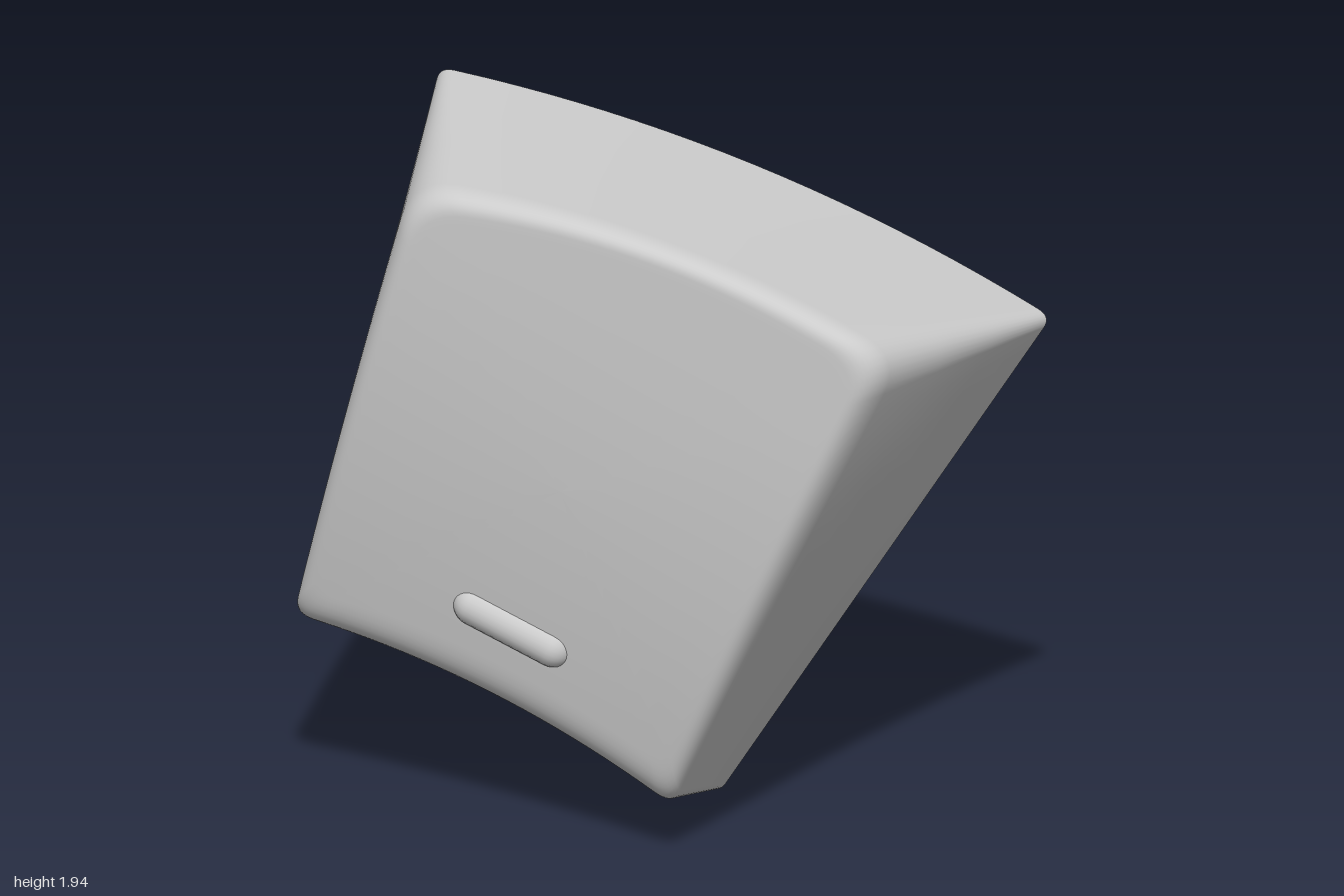
import * as THREE from 'three';

const BACK = -0.335;
const AXIS = new THREE.Vector2(0.372, 0.928); // direction from the narrow end to the wide end
const BULGE = [0, -0.062, 0, 0.085]; // outward bow of left, bottom, right and top edges
const v2 = (x, y) => new THREE.Vector2(x, y);

// Corners run counter-clockwise: top left, bottom left, bottom right, top right
const BASE = [v2(-0.69, 1.943), v2(-1.01, 0.39), v2(0.085, -0.01), v2(1.01, 1.48)];
const TOP = [v2(-0.53, 1.882), v2(-0.912, 0.565), v2(0.14, 0.175), v2(0.788, 1.585)];

// Height of the dished front face, falling away towards the narrow end
function faceZ(x, y) {
  const d = Math.max(0, 1.5 - (x * AXIS.x + y * AXIS.y));
  return 0.335 - 0.083 * d * d;
}

// Moves each edge of a quad inwards by its own distance
function inset(quad, dist) {
  return quad.map((p, i) => {
    const j = (i + 3) % 4;
    const u1 = p.clone().sub(quad[j]).normalize();
    const u2 = quad[(i + 1) % 4].clone().sub(p).normalize();
    const cross = u1.cross(u2);
    return p.clone().addScaledVector(u2, dist[j] / cross).addScaledVector(u1, -dist[i] / cross);
  });
}

// Rounded outline with bowed edges; z is a function of x and y
function ring(quad, radii, z) {
  const edge = (i, s) => {
    const a = quad[i], b = quad[(i + 1) % 4];
    const u = b.clone().sub(a).normalize();
    return a.clone().lerp(b, s).addScaledVector(v2(u.y, -u.x), BULGE[i] * 4 * s * (1 - s));
  };
  const points = [];
  for (let i = 0; i < 4; i++) {
    const j = (i + 3) % 4, k = (i + 1) % 4;
    const before = edge(j, 1 - radii[i] / quad[j].distanceTo(quad[i]));
    const length = quad[i].distanceTo(quad[k]);
    const s0 = radii[i] / length, s1 = 1 - radii[k] / length;
    const corner = new THREE.QuadraticBezierCurve(before, quad[i], edge(i, s0));
    for (let n = 0; n < 8; n++) points.push(corner.getPoint(n / 8));
    for (let n = 0; n < 20; n++) points.push(edge(i, s0 + (s1 - s0) * n / 20));
  }
  return points.map(p => new THREE.Vector3(p.x, p.y, z(p.x, p.y)));
}

// Skin over a list of closed rings with equal point counts
function loft(rings) {
  const n = rings[0].length, index = [];
  for (let r = 0; r < rings.length - 1; r++) {
    for (let i = 0; i < n; i++) {
      const a = r * n + i, b = r * n + (i + 1) % n;
      index.push(a, b, b + n, a, b + n, a + n);
    }
  }
  const geometry = new THREE.BufferGeometry().setFromPoints(rings.flat());
  geometry.setIndex(index);
  geometry.computeVertexNormals();
  return geometry;
}

// Rings from the open back, up the wall, round the edge and across to the middle
function shellRings(base, edge, inner, z) {
  const rings = [0, 0.3, 0.6].map(t => base.map((p, i) => p.clone().lerp(edge[i], t)));
  const start = base.map((p, i) => p.clone().lerp(edge[i], 0.89));
  for (let s = 0; s <= 8; s++) {
    rings.push(start.map((p, i) =>
      new THREE.QuadraticBezierCurve3(p, edge[i], inner[i]).getPoint(s / 8)));
  }
  const middle = new THREE.Vector3();
  inner.forEach(p => middle.addScaledVector(p, 1 / inner.length));
  for (const k of [0.97, 0.85, 0.7, 0.5, 0.3, 0.15, 0]) {
    rings.push(inner.map(p => {
      const q = middle.clone().lerp(p, k);
      q.z = z(q.x, q.y);
      return q;
    }));
  }
  return rings;
}

export function createModel() {
  const group = new THREE.Group();
  const material = new THREE.MeshStandardMaterial({ color: 0xcccccc });
  const add = (name, geometry, parent = group) => {
    const mesh = new THREE.Mesh(geometry, material);
    mesh.name = name;
    parent.add(mesh);
    return mesh;
  };
  const same = d => [d, d, d, d];
  const back = () => BACK;
  const ceilingZ = (x, y) => faceZ(x, y) - 0.1;

  // Outer shell
  const rimOuter = ring(BASE, same(0.04), back);
  add('outerShell', loft(shellRings(
    rimOuter,
    ring(TOP, [0.13, 0.06, 0.06, 0.13], faceZ),
    ring(inset(TOP, [0.045, 0.09, 0.045, 0.045]), [0.12, 0.05, 0.05, 0.12], faceZ), faceZ)));

  // Hollow inside, open at the back
  const rimInner = ring(inset(BASE, same(0.095)), same(0.05), back);
  const cavityTop = inset(TOP, same(0.1));
  add('cavity', loft(shellRings(
    rimInner,
    ring(cavityTop, same(0.05), ceilingZ),
    ring(inset(cavityTop, same(0.05)), same(0.05), ceilingZ), ceilingZ).reverse()));
  add('backRim', loft([rimInner, rimOuter]));

  // Raised finger bar on the front face
  const bar = add('fingerBar', new THREE.CapsuleGeometry(0.057, 0.235, 10, 24));
  bar.position.set(-0.28, 0.642, 0.222);
  bar.rotation.z = Math.PI / 2 - 0.375;

  // Mounting stem with a cross-shaped socket
  const stem = new THREE.Group();
  stem.name = 'stem';
  stem.position.set(-0.1, 1.04, 0);
  stem.rotation.z = -Math.atan2(AXIS.x, AXIS.y);
  group.add(stem);
  const outline = new THREE.Shape().absarc(0, 0, 0.175, 0, Math.PI * 2, false);
  const cross = [], l = 0.15, w = 0.045;
  for (let i = 0; i < 4; i++) {
    for (const [x, y] of [[l, -w], [l, w], [w, w]]) {
      cross.push(v2(x, y).rotateAround(v2(0, 0), i * Math.PI / 2));
    }
  }
  outline.holes.push(new THREE.Path(cross.reverse()));
  const socket = new THREE.ExtrudeGeometry(outline, { depth: 0.3, bevelEnabled: false, curveSegments: 48 });
  add('stemSocket', socket.translate(0, 0, -0.26), stem);
  const disc = (name, radius, z0, z1) => add(name,
    new THREE.CylinderGeometry(radius, radius, z1 - z0, 48).rotateX(Math.PI / 2)
      .translate(0, 0, (z0 + z1) / 2), stem);
  disc('stemBase', 0.175, 0.04, 0.23);
  disc('stemCollar', 0.197, 0.15, 0.24);

  return group;
}
